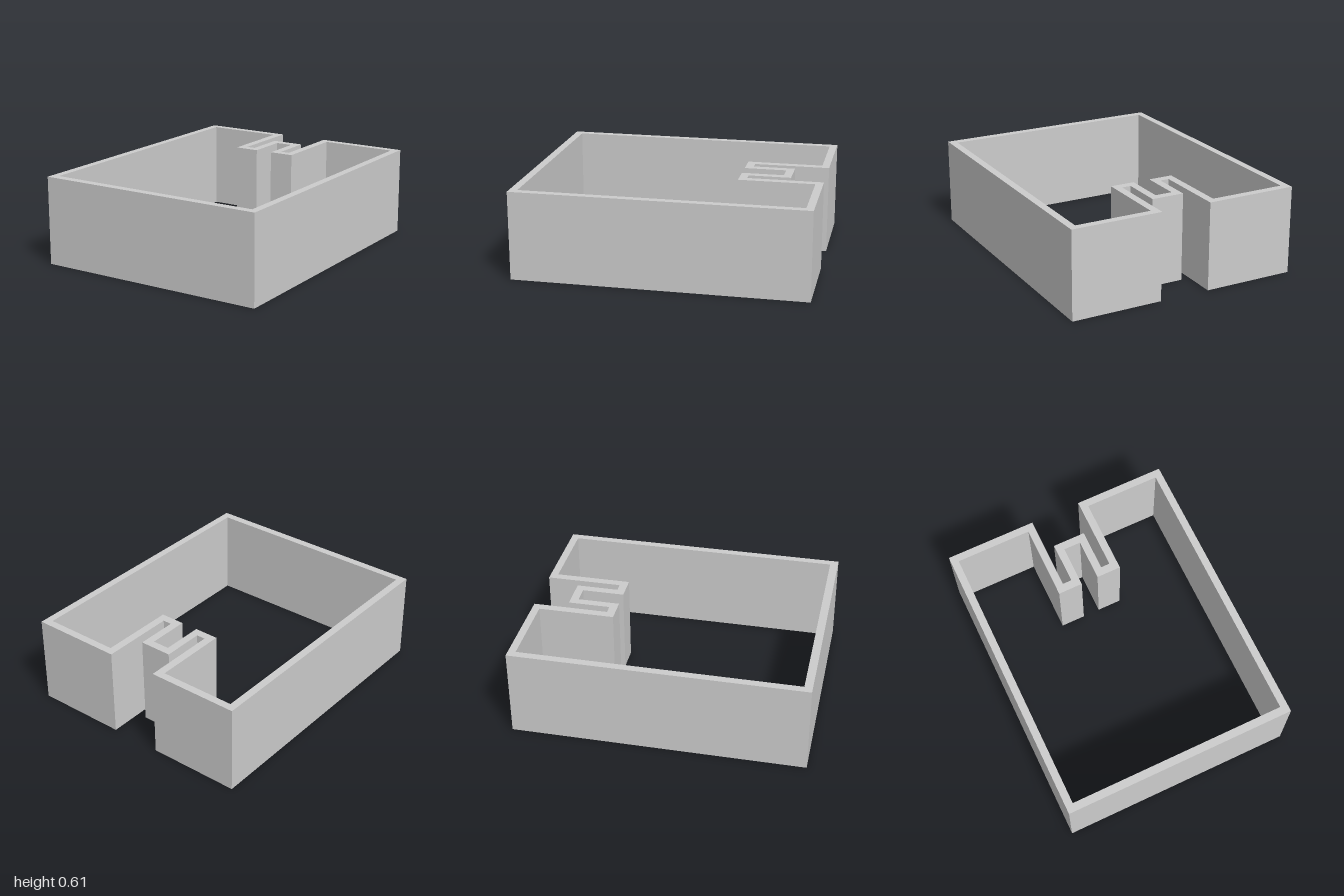
import * as THREE from 'three';

// Mirrors the left half of an outline [x, z] across x = 0; shape y becomes -z
function mirrored(half) {
  const all = [...half, ...half.map(([x, z]) => [-x, z]).reverse()];
  return all.map(([x, z]) => new THREE.Vector2(x, -z));
}

export function createModel() {
  const height = 0.61;
  const group = new THREE.Group();
  group.name = 'frame';

  // Outer face: rectangle with a back slot and a tongue standing in it
  const outer = mirrored([
    [0.812, 1], [0.812, -1], [0.177, -1],
    [0.177, -0.483], [0.114, -0.483], [0.114, -0.771],
  ]);
  // Inner face, one wall thickness inside
  const inner = mirrored([
    [0.76, 0.945], [0.76, -0.948], [0.231, -0.948],
    [0.231, -0.427], [0.06, -0.427], [0.06, -0.716],
  ]);

  const shape = new THREE.Shape(outer);
  shape.holes.push(new THREE.Path(inner));
  const geometry = new THREE.ExtrudeGeometry(shape, { depth: height, bevelEnabled: false });
  geometry.rotateX(-Math.PI / 2);

  const wall = new THREE.Mesh(geometry, new THREE.MeshStandardMaterial({ color: 0xcccccc }));
  wall.name = 'foldedWall';
  group.add(wall);
  return group;
}
